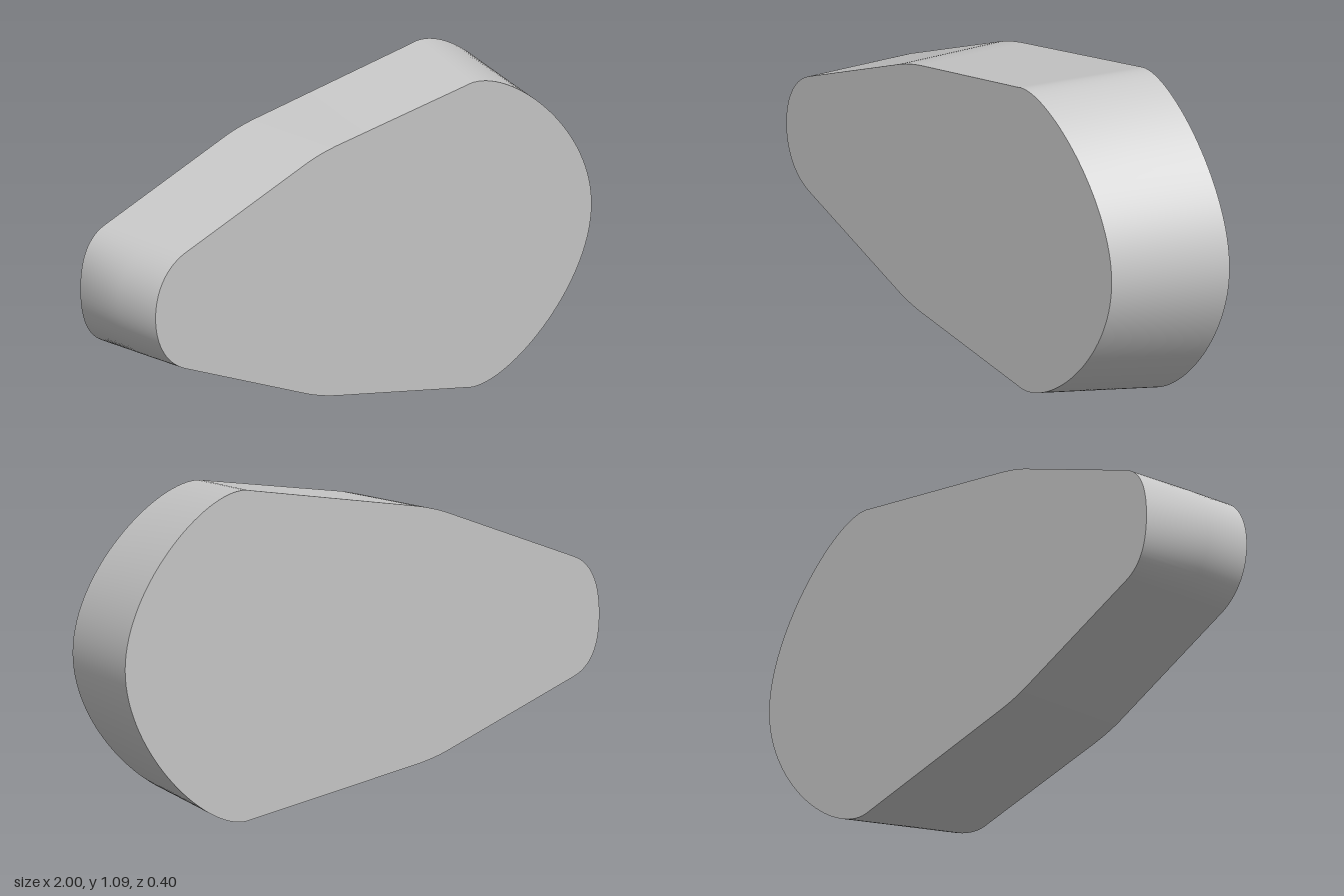
import * as THREE from 'three';

const CENTER_Y = 0.55;
const v = (x, y) => new THREE.Vector2(x, y);

// Closed counter-clockwise teardrop outline: narrow rounded nose at -x, broad rounded end at +x
function outline(nose, shoulderX, shoulderY, tail) {
  const curves = [
    [new THREE.CubicBezierCurve(v(nose, 0), v(nose, 0.1), v(-0.93, 0.172), v(-0.85, 0.2)), 16],
    [new THREE.LineCurve(v(-0.85, 0.2), v(-0.34, 0.39)), 4],
    [new THREE.QuadraticBezierCurve(v(-0.34, 0.39), v(-0.28, 0.413), v(-0.2, 0.427)), 6],
    [new THREE.LineCurve(v(-0.2, 0.427), v(shoulderX, shoulderY)), 4],
    [new THREE.CubicBezierCurve(v(shoulderX, shoulderY), v(shoulderX + 0.165, shoulderY + 0.043),
      v(tail, 0.28), v(tail, 0)), 32],
  ];
  const half = [v(nose, 0)];
  for (const [curve, n] of curves) half.push(...curve.getPoints(n).slice(1));
  const lower = half.slice(1, -1).map((p) => v(p.x, -p.y));
  return [...half.reverse(), ...lower];
}

// Smooth rim lofted through the sections, front to back
function loft(sections) {
  const n = sections[0].points.length;
  const pos = [], index = [];
  for (const s of sections) for (const p of s.points) pos.push(p.x, CENTER_Y + p.y, s.z);
  for (let r = 0; r < sections.length - 1; r++) {
    for (let i = 0; i < n; i++) {
      const j = (i + 1) % n;
      const a = r * n + i, b = r * n + j, c = a + n, d = b + n;
      index.push(a, c, b, b, c, d);
    }
  }
  return makeGeometry(pos, index);
}

// Flat end face as a fan around its middle
function cap({ points, z }, facesBack) {
  const n = points.length;
  const pos = [0, CENTER_Y, z], index = [];
  points.forEach((p, i) => {
    pos.push(p.x, CENTER_Y + p.y, z);
    const a = i + 1, b = ((i + 1) % n) + 1;
    index.push(0, ...(facesBack ? [b, a] : [a, b]));
  });
  return makeGeometry(pos, index);
}

function makeGeometry(pos, index) {
  const g = new THREE.BufferGeometry();
  g.setAttribute('position', new THREE.Float32BufferAttribute(pos, 3));
  g.setIndex(index);
  g.computeVertexNormals();
  return g;
}

export function createModel() {
  const group = new THREE.Group();
  group.name = 'teardropBlock';
  const grey = new THREE.MeshStandardMaterial({ color: 0xc8c8c8 });
  grey.name = 'light grey';

  // The broad end leans outward to the back; the nose bulges slightly mid-depth
  const front = { z: 0.2, points: outline(-0.985, 0.36, 0.516, 0.905) };
  const middle = { z: 0.03, points: outline(-1, 0.411, 0.5275, 0.945) };
  const back = { z: -0.2, points: outline(-0.96, 0.48, 0.543, 1) };

  const add = (name, geometry) => {
    const mesh = new THREE.Mesh(geometry, grey);
    mesh.name = name;
    group.add(mesh);
  };
  add('rim', loft([front, middle, back]));
  add('frontFace', cap(front, false));
  add('backFace', cap(back, true));
  return group;
}
